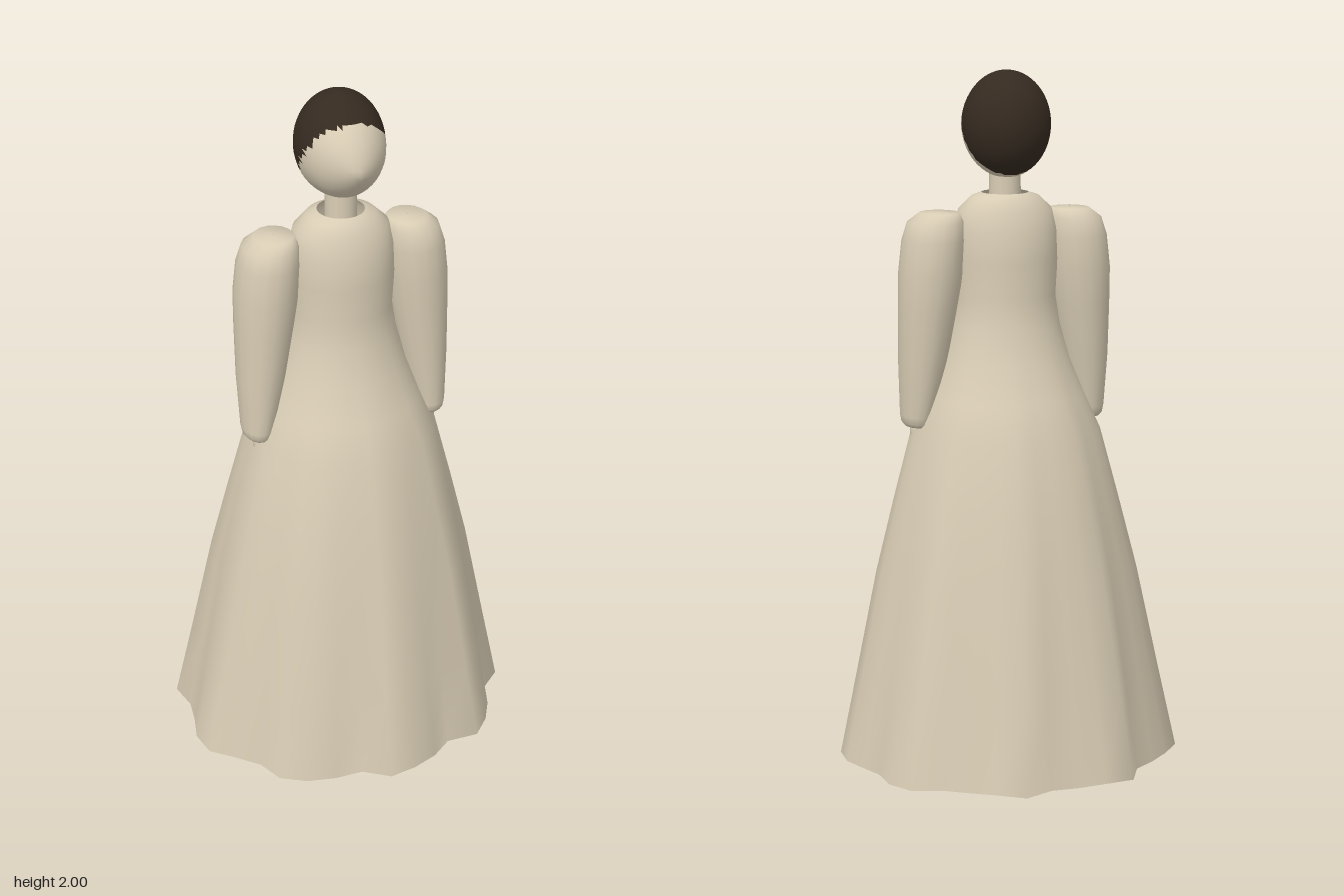
import * as THREE from 'three';
import { mergeVertices } from 'three/addons/utils/BufferGeometryUtils.js';

function material(name, color, side = THREE.FrontSide) {
  const m = new THREE.MeshStandardMaterial({ color, side });
  m.name = name;
  return m;
}

// Smooth skin through rings listed from top to bottom: { y, x, z, rx, rz }.
// fold(angleIndex, y) scales the radius.
function loft(rings, sides, fold = () => 1) {
  const pos = [], index = [];
  rings.forEach(({ y, x = 0, z = 0, rx, rz }, i) => {
    for (let j = 0; j < sides; j++) {
      const a = (j / sides) * Math.PI * 2, k = fold(j, y);
      pos.push(x + Math.sin(a) * rx * k, y, z + Math.cos(a) * rz * k);
      if (i === rings.length - 1) continue;
      const p = i * sides + j, q = i * sides + ((j + 1) % sides);
      index.push(p, p + sides, q, q, p + sides, q + sides);
    }
  });
  const g = new THREE.BufferGeometry();
  g.setAttribute('position', new THREE.Float32BufferAttribute(pos, 3));
  g.setIndex(index);
  g.computeVertexNormals();
  return g;
}

// Hem radius every 10 degrees, from the front towards +x
const HEM = [
  .442, .431, .418, .397, .445, .437, .424, .408, .449, .445, .425, .416,
  .446, .452, .415, .414, .424, .453, .411, .421, .434, .461, .418, .430,
  .446, .467, .429, .431, .454, .461, .429, .416, .448, .442, .422, .400,
];
const HEM_MEAN = 0.432;

function dressGeometry() {
  const rings = [
    [1.665, .065, .065], [1.655, .095, .085], [1.62, .132, .105], [1.56, .146, .123],
    [1.48, .148, .13], [1.38, .142, .126], [1.3, .154, .138], [1.2, .182, .163],
    [1.1, .222, .207], [1.0, .265, .25], [.8, .314, .297], [.6, .36, .34],
    [.3, .415, .391], [.065, HEM_MEAN * 1.06, HEM_MEAN],
  ].map(([y, rx, rz]) => ({ y, rx, rz }));
  // folds deepen from the waist down to the hem
  return loft(rings, HEM.length, (j, y) => {
    const t = THREE.MathUtils.clamp((1.25 - y) / 1.185, 0, 1);
    return 1 + (HEM[j] / HEM_MEAN - 1) * t;
  });
}

function sleeveGeometry(side) {
  const rings = [
    [1.617, .19, 0, .002, .002], [1.615, .19, 0, .055, .06], [1.59, .2, 0, .078, .084],
    [1.54, .207, 0, .087, .095], [1.45, .215, 0, .089, .097], [1.35, .224, .004, .081, .089],
    [1.2, .237, .01, .067, .077], [1.05, .251, .02, .046, .064], [1.03, .251, .02, .042, .06],
    [1.02, .251, .02, .033, .05], [1.019, .251, .02, .002, .002],
  ].map(([y, x, z, rx, rz]) => ({ y, x: x * side, z, rx, rz }));
  return loft(rings, 16);
}

// Egg-shaped head drawn out to a nose; group 0 is the face, group 1 the hair
function headGeometry() {
  let g = new THREE.SphereGeometry(1, 44, 32);
  g.deleteAttribute('uv');
  g.deleteAttribute('normal');
  g.scale(0.122, 0.147, 0.125);
  g.translate(0, 1.853, -0.014);
  g = mergeVertices(g, 1e-5);
  const p = g.attributes.position;
  for (let i = 0; i < p.count; i++) {
    if (p.getZ(i) < 0) continue;
    const d = Math.hypot(p.getX(i), p.getY(i) - 1.825);
    const front = Math.min(1, p.getZ(i) / 0.05);
    p.setZ(i, p.getZ(i) + 0.047 * front * Math.max(0, 1 - d / 0.15));
  }
  g.computeVertexNormals();
  const face = [], hair = [], old = g.index.array;
  for (let i = 0; i < old.length; i += 3) {
    const tri = [old[i], old[i + 1], old[i + 2]];
    const y = tri.reduce((s, v) => s + p.getY(v), 0) / 3;
    const z = tri.reduce((s, v) => s + p.getZ(v), 0) / 3;
    // slanting hairline from brow to nape
    (z > -0.06 + (y - 1.72) * 0.67 ? face : hair).push(...tri);
  }
  g.setIndex([...face, ...hair]);
  g.addGroup(0, face.length, 0);
  g.addGroup(face.length, hair.length, 1);
  return g;
}

// Rounded shoe with a flat sole
function shoeGeometry() {
  const g = new THREE.SphereGeometry(1, 24, 16);
  g.scale(0.051, 0.052, 0.108);
  g.translate(0, 0.037, 0);
  const p = g.attributes.position;
  for (let i = 0; i < p.count; i++) p.setY(i, Math.max(0, p.getY(i)));
  g.computeVertexNormals();
  return g;
}

export function createModel() {
  const model = new THREE.Group();
  model.name = 'womanInLongDress';
  const cloth = material('cream cloth', 0xd8ccb4, THREE.DoubleSide);
  const skin = material('cream skin', 0xd8ccb4);
  const hair = material('dark brown hair', 0x352a20);
  const black = material('black stockings and shoes', 0x222222);

  const add = (name, geometry, mat, x = 0, y = 0, z = 0) => {
    const mesh = new THREE.Mesh(geometry, mat);
    mesh.name = name;
    mesh.position.set(x, y, z);
    model.add(mesh);
    return mesh;
  };

  add('dress', dressGeometry(), cloth);
  add('head', headGeometry(), [skin, hair]);
  add('neck', new THREE.CylinderGeometry(0.043, 0.045, 0.2, 20), skin, 0, 1.66, 0);

  for (const [label, s] of [['left', 1], ['right', -1]]) {
    add(label + 'Sleeve', sleeveGeometry(s), cloth);
    add(label + 'Hand', new THREE.SphereGeometry(1, 14, 10), skin, s * 0.252, 1.0, 0.03)
      .scale.set(0.016, 0.034, 0.02);
    add(label + 'Shoe', shoeGeometry(), black, s * 0.097, 0, 0.035);
    add(label + 'Leg', new THREE.CylinderGeometry(0.085, 0.046, 0.85, 20), black, s * 0.094, 0.475, -0.015);
  }
  return model;
}
